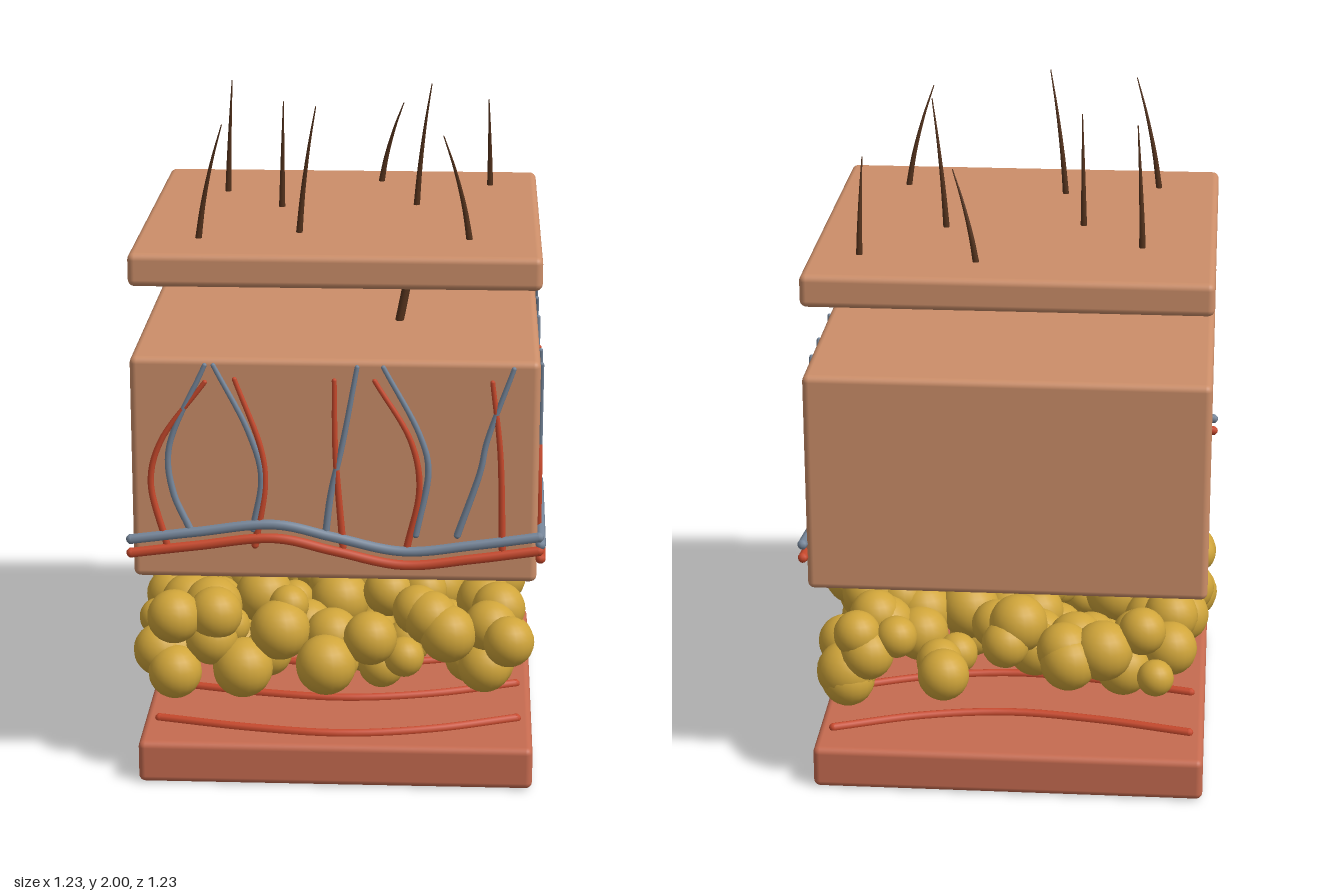
import * as THREE from 'three';
import { RoundedBoxGeometry } from 'three/addons/geometries/RoundedBoxGeometry.js';

const mat = (name, color) => Object.assign(new THREE.MeshStandardMaterial({ color }), { name });
const V = (x, y, z) => new THREE.Vector3(x, y, z);

export function createModel() {
  const root = new THREE.Group();
  root.name = 'skinLayers';
  const skin = mat('skin', 0xcc8e69);
  const muscle = mat('muscle', 0xc66b50);
  const artery = mat('artery red', 0xc8492c);
  const vein = mat('vein blue grey', 0x76869a);
  const fat = mat('fat yellow', 0xd0a53a);
  const hairMat = mat('hair brown', 0x55331d);

  const group = (name) => {
    const g = new THREE.Group();
    g.name = name;
    root.add(g);
    return g;
  };
  const add = (parent, name, geo, material) => {
    const m = new THREE.Mesh(geo, material);
    m.name = name;
    parent.add(m);
    return m;
  };

  // Tube through points, its radius tapering from r0 to r1, with round ends
  const tube = (parent, name, points, r0, r1, material, segs = 24) => {
    const curve = new THREE.CatmullRomCurve3(points);
    const sides = 8;
    const geo = new THREE.TubeGeometry(curve, segs, 1, sides);
    const p = geo.attributes.position;
    const v = V();
    for (let i = 0; i <= segs; i++) {
      const c = curve.getPointAt(i / segs);
      const r = r0 + (r1 - r0) * i / segs;
      for (let j = 0; j <= sides; j++) {
        const k = i * (sides + 1) + j;
        v.fromBufferAttribute(p, k).sub(c).multiplyScalar(r).add(c);
        p.setXYZ(k, v.x, v.y, v.z);
      }
    }
    add(parent, name, geo, material);
    [[points[0], r0], [points[points.length - 1], r1]].forEach(([pt, r]) =>
      add(parent, name + 'End', new THREE.SphereGeometry(r, 8, 6), material).position.copy(pt));
  };

  // Three slabs: name, bottom, top, material
  [['muscleSlab', 0, 0.13, muscle], ['dermisBlock', 0.655, 1.32, skin], ['epidermisSlab', 1.525, 1.622, skin]]
    .forEach(([name, y0, y1, m]) => {
      add(root, name, new RoundedBoxGeometry(1.172, y1 - y0, 1.172, 3, 0.02), m).position.y = (y0 + y1) / 2;
    });

  // Curved fibres on the muscle
  const fibres = group('muscleFibres');
  for (let i = 0; i < 4; i++) {
    const pts = [[-0.54, 0.41], [-0.25, 0.475], [0.02, 0.503], [0.28, 0.46], [0.54, 0.363]]
      .map(([x, z]) => V(x, 0.135, z - i * 0.272));
    tube(fibres, 'muscleFibre', pts, 0.014, 0.014, artery);
  }

  // Fat cells: outer rows placed by hand, the inside filled at random
  const cells = group('fatLayer');
  const cell = (x, y, z, r) => add(cells, 'fatCell', new THREE.SphereGeometry(r, 20, 14), fat).position.set(x, y, z);
  [[-0.48, 0.5, 0.08], [-0.36, 0.5, 0.08], [-0.53, 0.37, 0.08], [-0.48, 0.325, 0.08], [-0.28, 0.33, 0.09],
    [-0.17, 0.44, 0.09], [-0.03, 0.355, 0.09], [0.1, 0.43, 0.08], [0.2, 0.36, 0.06], [0.33, 0.46, 0.085],
    [0.44, 0.35, 0.08], [0.24, 0.51, 0.075]]
    .forEach(([x, y, r], i) => cell(x, y, 0.5 - (i % 3) * 0.03, r));
  [[0.53, 0.45, 0.075], [0.39, 0.5, 0.08], [0.44, 0.35, 0.08], [0.27, 0.35, 0.08], [0.18, 0.44, 0.065],
    [0.05, 0.4, 0.07], [-0.12, 0.5, 0.095], [-0.08, 0.34, 0.08], [-0.26, 0.5, 0.08], [-0.37, 0.39, 0.08],
    [-0.53, 0.34, 0.08], [-0.53, 0.49, 0.07]]
    .forEach(([z, y, r], i) => cell(0.51 - (i % 3) * 0.03, y, z, r));
  [[-0.18, 0.42, -0.53, 0.085], [0.42, 0.43, -0.535, 0.08], [-0.53, 0.4, 0.05, 0.085], [-0.55, 0.42, 0.3, 0.058]]
    .forEach((c) => cell(...c));
  let seed = 7;
  const rand = () => (seed = (seed * 16807) % 2147483647) / 2147483647;
  for (let i = 0; i < 10; i++) {
    for (let j = 0; j < 9; j++) {
      const r = 0.055 + rand() * 0.037;
      cell(-0.48 + i * 0.105 + (rand() - 0.5) * 0.1, 0.245 + r + rand() * (0.34 - 2 * r),
        -0.48 + j * 0.115 + (rand() - 0.5) * 0.1, r);
    }
  }

  // Vessels on the front and +x faces; u runs left to right across each face
  const faces = [
    { name: 'frontVessels', at: (u, y, d) => V(u, y, 0.586 + d) },
    { name: 'sideVessels', at: (u, y, d) => V(0.586 + d, y, -u) },
  ];
  const wave = [[-0.59, 0.775], [-0.4, 0.8], [-0.17, 0.826], [0, 0.79], [0.2, 0.75], [0.4, 0.772], [0.59, 0.8]];
  // Branches, bottom to top, as [u, y]
  const branches = [
    {
      veins: [
        [[-0.42, 0.81], [-0.466, 0.92], [-0.476, 1.05], [-0.37, 1.3]],
        [[-0.235, 0.81], [-0.21, 0.97], [-0.245, 1.1], [-0.345, 1.3]],
        [[-0.025, 0.8], [-0.01, 0.92], [0.025, 1.08], [0.065, 1.3]],
        [[0.235, 0.8], [0.27, 1.0], [0.245, 1.1], [0.14, 1.3]],
        [[0.355, 0.8], [0.42, 1.0], [0.435, 1.08], [0.51, 1.3]],
      ],
      arteries: [
        [[-0.487, 0.76], [-0.53, 0.95], [-0.5, 1.07], [-0.37, 1.25]],
        [[-0.23, 0.76], [-0.2, 0.95], [-0.21, 1.05], [-0.285, 1.26]],
        [[0.025, 0.76], [0.003, 1.05], [0, 1.26]],
        [[0.21, 0.76], [0.245, 0.94], [0.22, 1.08], [0.115, 1.26]],
        [[0.485, 0.76], [0.475, 1.05], [0.45, 1.26]],
      ],
    },
    {
      veins: [
        [[-0.456, 0.81], [-0.456, 0.94], [-0.48, 1.08], [-0.535, 1.3]],
        [[-0.26, 0.8], [-0.33, 1.05], [-0.387, 1.3]],
        [[-0.05, 0.8], [-0.02, 1.05], [-0.015, 1.3]],
        [[0.265, 0.8], [0.31, 0.97], [0.3, 1.08], [0.21, 1.3]],
        [[0.425, 0.8], [0.49, 1.0], [0.47, 1.1], [0.36, 1.3]],
      ],
      arteries: [
        [[-0.47, 0.76], [-0.5, 0.94], [-0.47, 1.05], [-0.377, 1.26]],
        [[-0.25, 0.76], [-0.235, 1.05], [-0.21, 1.26]],
        [[0.055, 0.76], [0.035, 0.94], [0.05, 1.08], [0.115, 1.26]],
        [[0.185, 0.76], [0.155, 1.05], [0.09, 1.26]],
        [[0.43, 0.76], [0.456, 0.94], [0.43, 1.08], [0.33, 1.26]],
      ],
    },
  ];
  faces.forEach(({ name, at }, f) => {
    const g = group(name);
    const main = (dy) => wave.map(([u, y]) => at(u, y + dy, 0.01));
    tube(g, 'mainVein', main(0), 0.015, 0.015, vein, 40);
    tube(g, 'mainArtery', main(-0.042), 0.015, 0.015, artery, 40);
    const branch = (list, label, m) => list.forEach((b) =>
      tube(g, label, b.map(([u, y]) => at(u, y, 0.003)), 0.0105, 0.007, m));
    branch(branches[f].veins, 'veinBranch', vein);
    branch(branches[f].arteries, 'arteryBranch', artery);
  });

  // Hairs: base x, z, then tip x, y, z
  const hairs = group('hairs');
  [[0.095, -0.42, 0.168, 1.88, -0.373], [0.44, -0.375, 0.432, 1.9, -0.33], [-0.372, -0.25, -0.352, 1.975, -0.208],
    [-0.19, -0.04, -0.181, 1.95, 0], [0.215, -0.085, 0.26, 2, -0.04], [-0.118, 0.295, -0.065, 2, 0.34],
    [-0.405, 0.38, -0.328, 1.96, 0.42], [0.382, 0.36, 0.302, 1.93, 0.4]]
    .forEach(([x, z, tx, ty, tz]) => {
      const at = (t, sx, sz) => V(x + (tx - x) * sx, 1.6 + (ty - 1.6) * t, z + (tz - z) * sz);
      tube(hairs, 'hair', [at(0, 0, 0), at(0.35, 0.24, 0.12), at(0.7, 0.6, 0.5), at(1, 1, 1)], 0.01, 0.0015, hairMat);
    });

  // Hair shaft crossing the gap between the skin layers
  tube(hairs, 'hairShaft', [V(0.165, 1.28, 0.142), V(0.19, 1.41, 0.14), V(0.216, 1.55, 0.135)], 0.013, 0.012, hairMat);

  return root;
}
